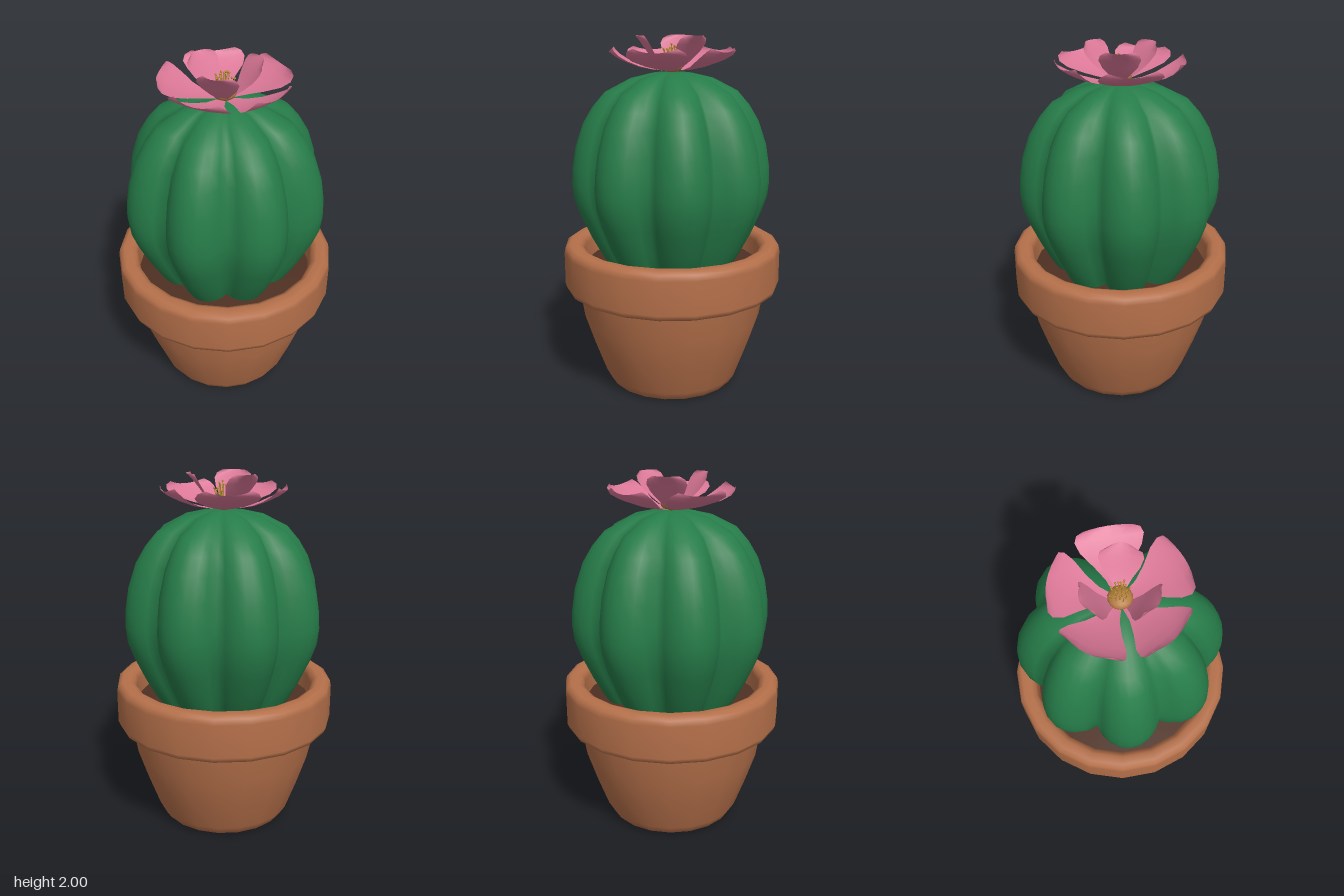
import * as THREE from 'three';
import { mergeVertices } from 'three/addons/utils/BufferGeometryUtils.js';

const mat = (name, color, side = THREE.FrontSide) => {
  const m = new THREE.MeshStandardMaterial({ color, side });
  m.name = name;
  return m;
};

function add(parent, name, geometry, material) {
  const mesh = new THREE.Mesh(geometry, material);
  mesh.name = name;
  parent.add(mesh);
  return mesh;
}

const profile = (pts) => pts.map(([r, y]) => new THREE.Vector2(r, y));

// Weld the seams so the normals run smoothly all the way round
function weld(geometry) {
  geometry.deleteAttribute('uv');
  geometry.deleteAttribute('normal');
  const g = mergeVertices(geometry, 1e-4);
  g.computeVertexNormals();
  return g;
}

function turned(pts, segments) {
  const g = weld(new THREE.LatheGeometry(profile(pts), segments));
  return g.rotateY(Math.PI / segments);
}

// Round body with eight ribs and pointed valleys
function cactusGeometry() {
  const g = new THREE.LatheGeometry(profile([
    [0.32, 0.64], [0.4, 0.76], [0.46, 0.87], [0.52, 1.0], [0.555, 1.1], [0.565, 1.19],
    [0.56, 1.28], [0.54, 1.4], [0.495, 1.53], [0.44, 1.62], [0.37, 1.7], [0.23, 1.772],
    [0.11, 1.8], [0, 1.805],
  ]), 64);
  const p = g.attributes.position;
  for (let i = 0; i < p.count; i++) {
    const a = Math.atan2(p.getX(i), p.getZ(i));
    const k = 0.795 + 0.205 * Math.pow(Math.abs(Math.sin(4 * a)), 0.85);
    p.setX(i, p.getX(i) * k);
    p.setZ(i, p.getZ(i) * k);
  }
  return weld(g);
}

// Cupped petal pointing to +z; each row is [z, y, half width]
function petalGeometry(rows, cup, tipRound) {
  const cols = 6;
  const g = new THREE.PlaneGeometry(1, 1, cols, rows.length - 1);
  const p = g.attributes.position;
  for (let i = 0; i < p.count; i++) {
    const row = Math.floor(i / (cols + 1));
    const u = ((i % (cols + 1)) / cols) * 2 - 1;
    const [z, y, w] = rows[row];
    const t = row / (rows.length - 1);
    p.setXYZ(i, u * w, y + cup * u * u * t, z - tipRound * u * u * t * t);
  }
  g.computeVertexNormals();
  return g;
}

export function createModel() {
  const terracotta = mat('terracotta', 0xb5704a);
  const earth = mat('earth', 0x4e3022);
  const green = mat('cactus green', 0x267c49);
  const pink = mat('petal pink', 0xdc7898, THREE.DoubleSide);
  const ochre = mat('flower centre ochre', 0xb57c42);
  const gold = mat('stamen gold', 0xb8902f);

  const model = new THREE.Group();
  model.name = 'pottedCactus';

  // Pot
  const pot = new THREE.Group();
  pot.name = 'pot';
  model.add(pot);
  add(pot, 'potBody', turned([
    [0, 0], [0.34, 0.002], [0.365, 0.012], [0.395, 0.06], [0.46, 0.24], [0.515, 0.41], [0.545, 0.6],
  ], 20), terracotta);
  add(pot, 'potRim', turned([
    [0.5, 0.575], [0.585, 0.575], [0.612, 0.588], [0.622, 0.615], [0.622, 0.8], [0.615, 0.832],
    [0.59, 0.847], [0.545, 0.847], [0.52, 0.835], [0.508, 0.805], [0.5, 0.66],
  ], 20), terracotta);
  add(pot, 'soil', turned([[0.51, 0.71], [0.3, 0.73], [0, 0.74]], 20), earth);

  // Cactus
  add(model, 'cactusBody', cactusGeometry(), green);

  // Flower
  const flower = new THREE.Group();
  flower.name = 'flower';
  model.add(flower);

  const outer = petalGeometry([
    [0.04, 1.812, 0.025], [0.11, 1.818, 0.05], [0.18, 1.832, 0.095], [0.25, 1.858, 0.15],
    [0.3, 1.882, 0.168], [0.33, 1.902, 0.155], [0.345, 1.915, 0.12],
  ], 0.022, 0.025);
  for (let i = 0; i < 5; i++) {
    add(flower, 'outerPetal' + (i + 1), outer, pink).rotation.y = (i * Math.PI * 2) / 5;
  }

  const inner = petalGeometry([
    [0.05, 1.825, 0.025], [0.09, 1.865, 0.055], [0.125, 1.91, 0.09],
    [0.16, 1.955, 0.108], [0.185, 1.982, 0.1], [0.205, 2.0, 0.07],
  ], 0, 0.035);
  for (let i = 0; i < 3; i++) {
    add(flower, 'innerPetal' + (i + 1), inner, pink).rotation.y = Math.PI + (i * Math.PI * 2) / 3;
  }

  // Flower centre with stamens
  const centre = add(flower, 'flowerCentre', new THREE.SphereGeometry(0.062, 14, 10), ochre);
  centre.scale.y = 0.6;
  centre.position.y = 1.838;

  const up = new THREE.Vector3(0, 1, 0);
  const stalk = new THREE.CylinderGeometry(0.0025, 0.0025, 1, 5);
  const tip = new THREE.SphereGeometry(0.006, 6, 4);
  for (let i = 0; i < 18; i++) {
    const a = i * 2.4;
    const r = 0.055 * Math.sqrt((i + 0.5) / 18);
    const base = new THREE.Vector3(Math.sin(a) * r * 0.7, 1.855, Math.cos(a) * r * 0.7);
    const end = new THREE.Vector3(Math.sin(a) * r, 1.96 - r * 0.6 - (i % 3) * 0.012, Math.cos(a) * r);
    const dir = end.clone().sub(base);
    const s = add(flower, 'stamen' + (i + 1), stalk, gold);
    s.scale.y = dir.length();
    s.position.copy(base).addScaledVector(dir, 0.5);
    s.quaternion.setFromUnitVectors(up, dir.normalize());
    add(flower, 'stamenTip' + (i + 1), tip, gold).position.copy(end);
  }

  return model;
}
